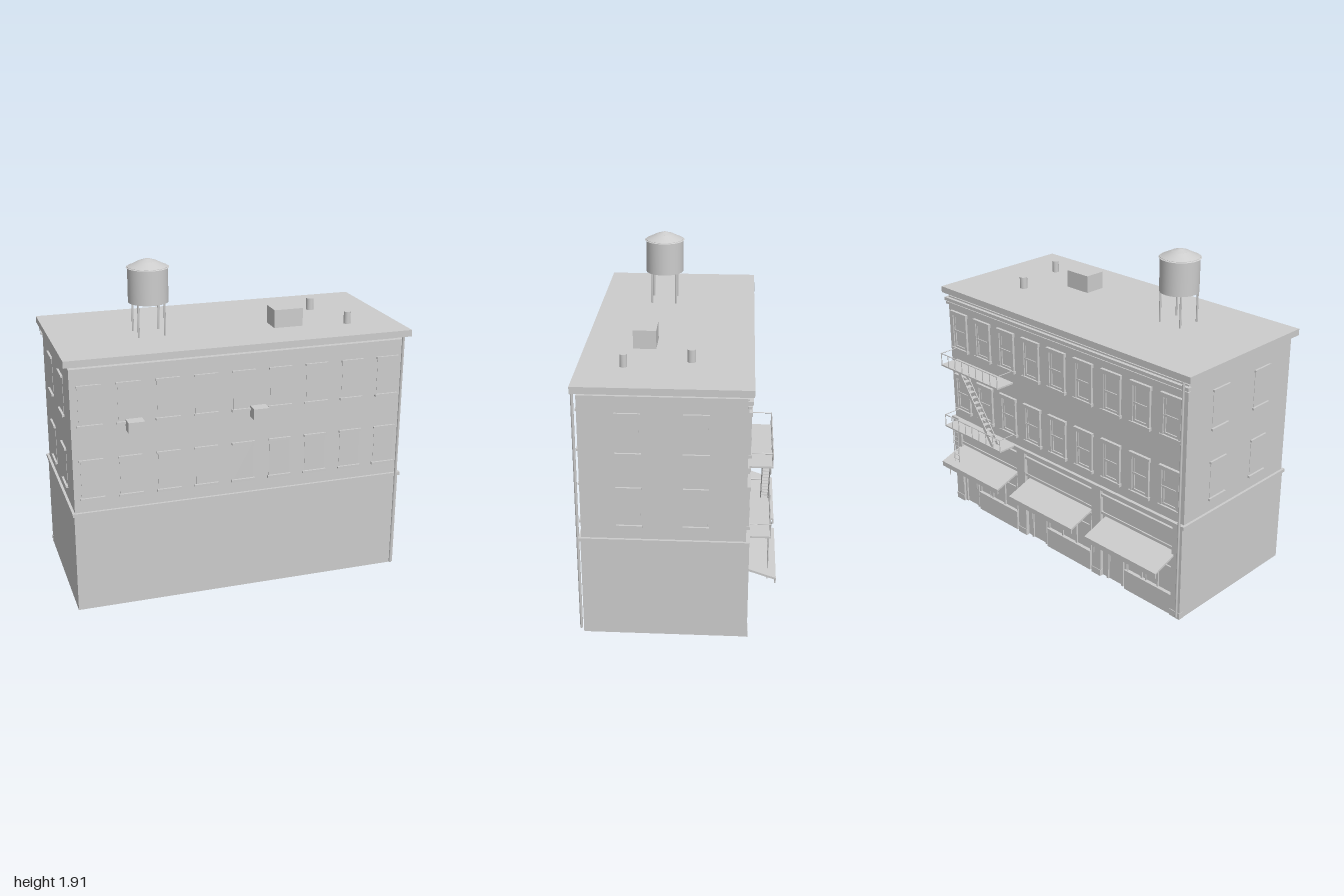
import * as THREE from 'three';

const grey = new THREE.MeshStandardMaterial({ color: 0xcccccc });
grey.name = 'plainGrey';

function add(parent, name, geometry, x = 0, y = 0, z = 0) {
  const m = new THREE.Mesh(geometry, grey);
  m.name = name;
  m.position.set(x, y, z);
  parent.add(m);
  return m;
}

// box given by its minimum and maximum on each axis
function box(parent, name, x0, x1, y0, y1, z0, z1) {
  return add(parent, name, new THREE.BoxGeometry(x1 - x0, y1 - y0, z1 - z0),
    (x0 + x1) / 2, (y0 + y1) / 2, (z0 + z1) / 2);
}

// round bar between two points
function bar(parent, name, a, b, r, sides = 6) {
  const p = new THREE.Vector3(...a), q = new THREE.Vector3(...b);
  const m = add(parent, name, new THREE.CylinderGeometry(r, r, p.distanceTo(q), sides));
  m.position.copy(p).add(q).multiplyScalar(0.5);
  m.quaternion.setFromUnitVectors(new THREE.Vector3(0, 1, 0), q.sub(p).normalize());
  return m;
}

function group(parent, name) {
  const g = new THREE.Group();
  g.name = name;
  parent.add(g);
  return g;
}

// blocked-up window: filled panel, lintel and sill, facing local +z
function blindWindow(parent, x, y, z, turn) {
  const g = group(parent, 'blindWindow');
  box(g, 'panel', -0.06, 0.06, 0, 0.225, -0.005, 0.002);
  box(g, 'sill', -0.07, 0.07, -0.007, 0.006, -0.01, 0.014);
  box(g, 'lintel', -0.068, 0.068, 0.219, 0.231, -0.01, 0.012);
  g.position.set(x, y, z);
  g.rotation.y = turn;
}

// sash window with frame, facing local +z
function sashWindow(parent, x, y, z) {
  const g = group(parent, 'sashWindow');
  for (const s of [-1, 1]) {
    box(g, 'jamb', s * 0.061 - 0.008, s * 0.061 + 0.008, 0, 0.235, -0.01, 0.014);
    box(g, 'sashStile', s * 0.047 - 0.006, s * 0.047 + 0.006, 0, 0.225, -0.01, 0.007);
  }
  box(g, 'sill', -0.075, 0.075, -0.012, 0.006, -0.01, 0.02);
  box(g, 'lintel', -0.075, 0.075, 0.222, 0.245, -0.01, 0.018);
  box(g, 'meetingRail', -0.053, 0.053, 0.11, 0.122, -0.01, 0.01);
  box(g, 'upperSash', -0.053, 0.053, 0.116, 0.222, -0.01, 0.004);
  box(g, 'bottomRail', -0.053, 0.053, 0.006, 0.018, -0.01, 0.008);
  g.position.set(x, y, z);
  g.rotation.y = Math.PI;
}

function shopfront(parent, cx) {
  const g = group(parent, 'shopfront');
  g.position.x = cx;
  const back = -0.38;
  // display window on one side, door on the other
  box(g, 'bulkhead', -0.27, 0.1, 0, 0.12, -0.408, back);
  box(g, 'windowSill', -0.27, 0.1, 0.12, 0.13, -0.41, back);
  for (const x of [-0.265, -0.145, -0.025, 0.095])
    box(g, 'mullion', x - 0.005, x + 0.005, 0.13, 0.38, -0.398, back);
  box(g, 'transomBar', -0.27, 0.27, 0.29, 0.3, -0.396, back);
  box(g, 'windowHead', -0.28, 0.28, 0.375, 0.39, -0.4, back);
  for (const x of [0.125, 0.245])
    box(g, 'doorPost', x - 0.008, x + 0.008, 0, 0.38, -0.398, back);
  box(g, 'door', 0.14, 0.23, 0.005, 0.28, -0.391, back);
  // sign board and mouldings
  box(g, 'signBoard', -0.28, 0.28, 0.44, 0.54, -0.395, back);
  box(g, 'signMouldingLow', -0.29, 0.29, 0.425, 0.44, -0.403, back);
  box(g, 'signMouldingHigh', -0.29, 0.29, 0.54, 0.555, -0.403, back);
  // sloping awning with a drop at the front
  const profile = new THREE.Shape([
    [0.385, 0.41], [0.56, 0.35], [0.56, 0.318], [0.553, 0.318], [0.553, 0.34], [0.385, 0.397],
  ].map(([x, y]) => new THREE.Vector2(x, y)));
  const awning = new THREE.ExtrudeGeometry(profile, { depth: 0.54, bevelEnabled: false });
  awning.translate(0, 0, -0.27);
  awning.rotateY(Math.PI / 2);
  add(g, 'awning', awning);
  for (let i = 0; i < 4; i++)
    bar(g, 'awningPull', [-0.2 + i * 0.133, 0.275, -0.556], [-0.2 + i * 0.133, 0.32, -0.556], 0.003);
}

function fireEscape(parent) {
  const g = group(parent, 'fireEscape');
  const x0 = 0.38, x1 = 0.91, zo = -0.522, zi = -0.4;
  for (const y of [0.597, 1.017]) {
    box(g, 'platform', x0, x1, y - 0.005, y + 0.005, zo - 0.003, zi);
    const h = y + 0.078;
    bar(g, 'outerRail', [x0, h, zo], [x1, h, zo], 0.003);
    for (const x of [x0 + 0.003, x1 - 0.003]) bar(g, 'endRail', [x, h, zo], [x, h, zi], 0.003);
    for (let i = 0; i <= 8; i++) {
      const x = x0 + 0.003 + (x1 - x0 - 0.006) * i / 8;
      bar(g, 'railPost', [x, y, zo], [x, h, zo], 0.003);
    }
  }
  // stair between the platforms
  const top = [0.75, 1.017], foot = [0.46, 0.602];
  const length = Math.hypot(top[0] - foot[0], top[1] - foot[1]);
  for (const z of [-0.515, -0.473]) {
    const s = add(g, 'stairStringer', new THREE.BoxGeometry(0.022, length, 0.005),
      (top[0] + foot[0]) / 2, (top[1] + foot[1]) / 2, z);
    s.rotation.z = -Math.atan2(top[0] - foot[0], top[1] - foot[1]);
  }
  for (let i = 1; i < 14; i++) {
    const x = foot[0] + (top[0] - foot[0]) * i / 14, y = foot[1] + (top[1] - foot[1]) * i / 14;
    box(g, 'stairTread', x - 0.014, x + 0.014, y - 0.002, y + 0.002, -0.515, -0.473);
  }
  // drop ladder
  for (const x of [0.8, 0.845]) bar(g, 'ladderRail', [x, 0.3, -0.515], [x, 0.6, -0.515], 0.003);
  for (let i = 0; i < 9; i++)
    bar(g, 'ladderRung', [0.8, 0.32 + i * 0.032, -0.515], [0.845, 0.32 + i * 0.032, -0.515], 0.0025);
}

function waterTower(parent) {
  const g = group(parent, 'waterTower');
  g.position.set(-0.445, 0, 0.135);
  add(g, 'tank', new THREE.CylinderGeometry(0.113, 0.113, 0.2, 32), 0, 1.77, 0);
  add(g, 'tankRoof', new THREE.CylinderGeometry(0.05, 0.12, 0.035, 32), 0, 1.8825, 0);
  add(g, 'roofCap', new THREE.CylinderGeometry(0.012, 0.052, 0.013, 32), 0, 1.9055, 0);
  for (const x of [-0.075, 0.075])
    for (const z of [-0.072, 0.072]) bar(g, 'leg', [x, 1.48, z], [x, 1.68, z], 0.006, 8);
}

export function createModel() {
  const model = new THREE.Group();
  model.name = 'shopBuilding';

  // walls, string course and roof
  box(model, 'groundFloor', -0.975, 0.975, 0, 0.587, -0.388, 0.495);
  box(model, 'upperFloors', -0.97, 0.97, 0.587, 1.427, -0.392, 0.49);
  box(model, 'stringCourse', -0.985, 0.985, 0.583, 0.602, -0.412, 0.505);
  box(model, 'roofCore', -0.94, 0.94, 1.42, 1.45, -0.37, 0.46);
  box(model, 'roofSlab', -1, 1, 1.447, 1.485, -0.418, 0.518);
  box(model, 'lowerCornice', -0.98, 0.98, 1.375, 1.39, -0.405, -0.385);
  box(model, 'upperCornice', -0.985, 0.985, 1.398, 1.418, -0.412, -0.385);

  // windows: nine bays front and back, two on each end
  for (const y of [0.68, 1.105]) {
    for (let i = -4; i <= 4; i++) {
      blindWindow(model, i * 0.217, y, 0.49, 0);
      sashWindow(model, i * 0.217, y - 0.01, -0.392);
    }
    for (const z of [0.23, -0.125])
      for (const s of [-1, 1]) blindWindow(model, s * 0.97, y, z, s * Math.PI / 2);
  }

  // shop side
  for (const x of [-0.65, 0, 0.65]) shopfront(model, x);
  for (const x of [-0.94, -0.325, 0.325, 0.94]) {
    box(model, 'pilaster', x - 0.035, x + 0.035, 0, 0.585, -0.41, -0.38);
    box(model, 'pilasterBase', x - 0.037, x + 0.037, 0, 0.04, -0.414, -0.38);
  }
  fireEscape(model);

  // drainpipes
  bar(model, 'frontDrainpipe', [0.952, 0.01, 0.512], [0.952, 1.447, 0.512], 0.008, 8);
  bar(model, 'backDrainpipe', [-0.955, 0.01, -0.415], [-0.955, 1.447, -0.415], 0.007, 8);

  // air conditioners
  for (const x of [-0.625, 0.085])
    box(model, 'airConditioner', x - 0.046, x + 0.046, 1.06, 1.122, 0.485, 0.56);

  // roof equipment
  waterTower(model);
  box(model, 'roofHut', 0.265, 0.438, 1.48, 1.59, 0.12, 0.248);
  for (const [x, z, r] of [[0.615, -0.083, 0.023], [0.705, 0.272, 0.02]])
    add(model, 'roofVent', new THREE.CylinderGeometry(r, r, 0.078, 20), x, 1.517, z);
  return model;
}
